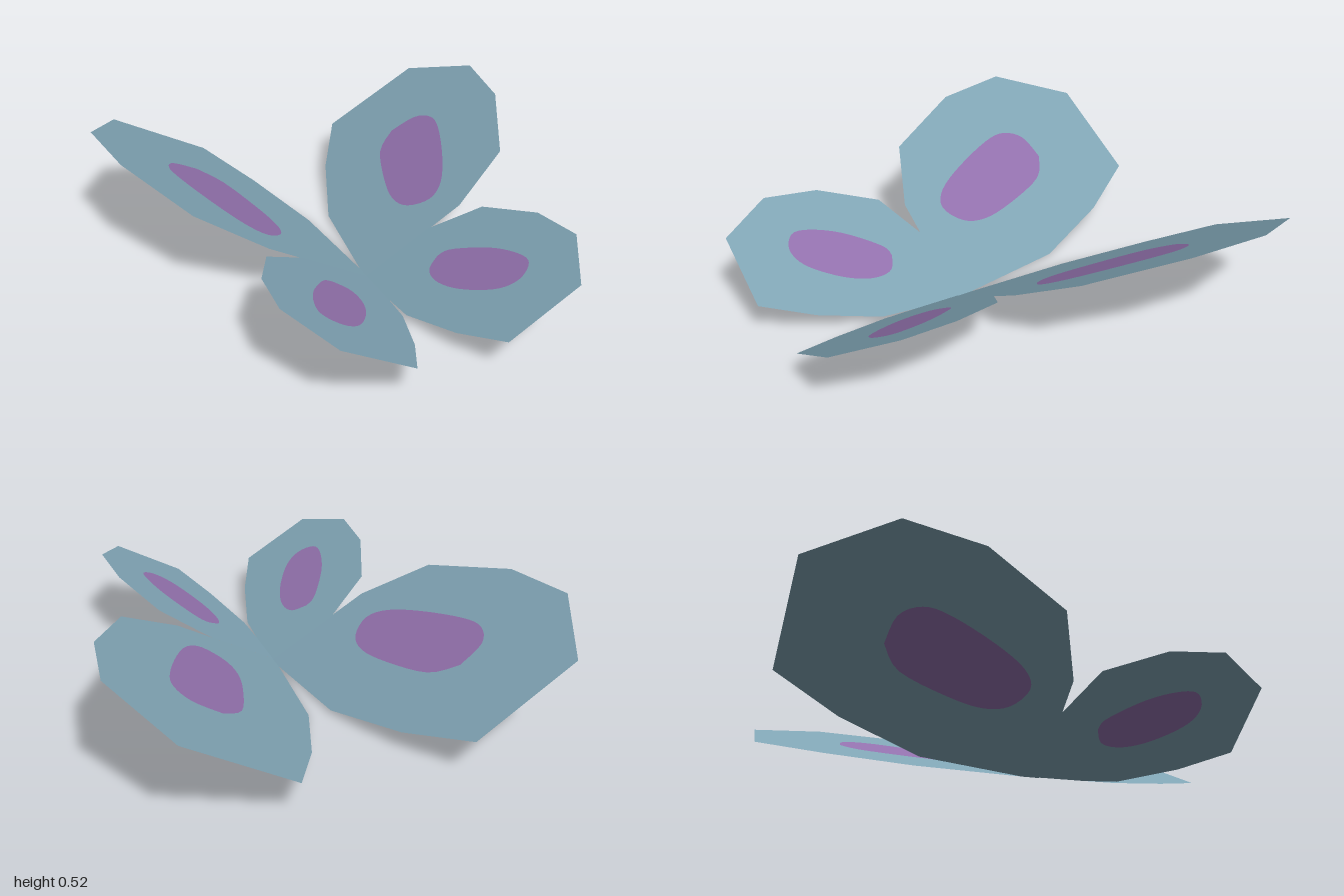
import * as THREE from 'three';

const wingBlue = new THREE.MeshStandardMaterial({ name: 'wingBlue', color: 0x7fa3b3, side: THREE.DoubleSide });
const spotPurple = new THREE.MeshStandardMaterial({ name: 'spotPurple', color: 0x9170ab, side: THREE.DoubleSide });

// Outlines as [x, z] seen from above, for the +x side; pitch tilts the wing along z
const wings = [
  {
    name: 'largeWing', pitch: 0.03,
    outline: [[0, 0.175], [0.44, 0.175], [0.71, 0.05], [0.9, -0.32], [0.95, -0.65],
      [0.78, -0.98], [0.35, -1], [0.19, -0.72], [0.05, -0.36], [0, 0.1]],
    spot: [[0.5, -0.61], [0.61, -0.585], [0.655, -0.5], [0.635, -0.385], [0.55, -0.185], [0.465, -0.04],
      [0.385, 0.01], [0.305, -0.05], [0.285, -0.16], [0.32, -0.32], [0.4, -0.53]],
  },
  {
    name: 'smallWing', pitch: 0.042,
    outline: [[0, 0.17], [0, 0.38], [0.008, 0.53], [0.09, 0.79], [0.19, 1], [0.49, 1],
      [0.62, 0.77], [0.6, 0.53], [0.49, 0.28], [0.29, 0.17]],
    spot: [[0.24, 0.355], [0.29, 0.375], [0.385, 0.51], [0.435, 0.635], [0.44, 0.725],
      [0.375, 0.77], [0.295, 0.735], [0.21, 0.61], [0.17, 0.49], [0.18, 0.395]],
  },
];

const toPlan = (points) => points.map(([x, z]) => new THREE.Vector2(x, -z));

// Lay a flat shape onto the raised wing plane
function wingSheet(shape, pitch) {
  const geometry = new THREE.ShapeGeometry(shape);
  const p = geometry.attributes.position;
  for (let i = 0; i < p.count; i++) {
    const x = p.getX(i), z = -p.getY(i);
    p.setXYZ(i, x, 0.57 * x + pitch * z, z);
  }
  geometry.computeVertexNormals();
  return geometry;
}

export function createModel() {
  const model = new THREE.Group();
  model.name = 'butterflyWings';

  for (const { name, pitch, outline, spot } of wings) {
    // The spot is an inlay that fills a matching hole in the wing
    const rim = new THREE.SplineCurve(toPlan([...spot, spot[0]])).getPoints(44).slice(0, -1);
    const wingShape = new THREE.Shape(toPlan(outline));
    wingShape.holes.push(new THREE.Path(rim));
    const wingGeometry = wingSheet(wingShape, pitch);
    const spotGeometry = wingSheet(new THREE.Shape(rim), pitch);

    for (const [side, sign] of [['left', 1], ['right', -1]]) {
      const wing = new THREE.Group();
      wing.name = `${side} ${name}`;
      const membrane = new THREE.Mesh(wingGeometry, wingBlue);
      membrane.name = 'membrane';
      const inlay = new THREE.Mesh(spotGeometry, spotPurple);
      inlay.name = 'spot';
      wing.add(membrane, inlay);
      wing.scale.x = sign;
      model.add(wing);
    }
  }
  return model;
}
